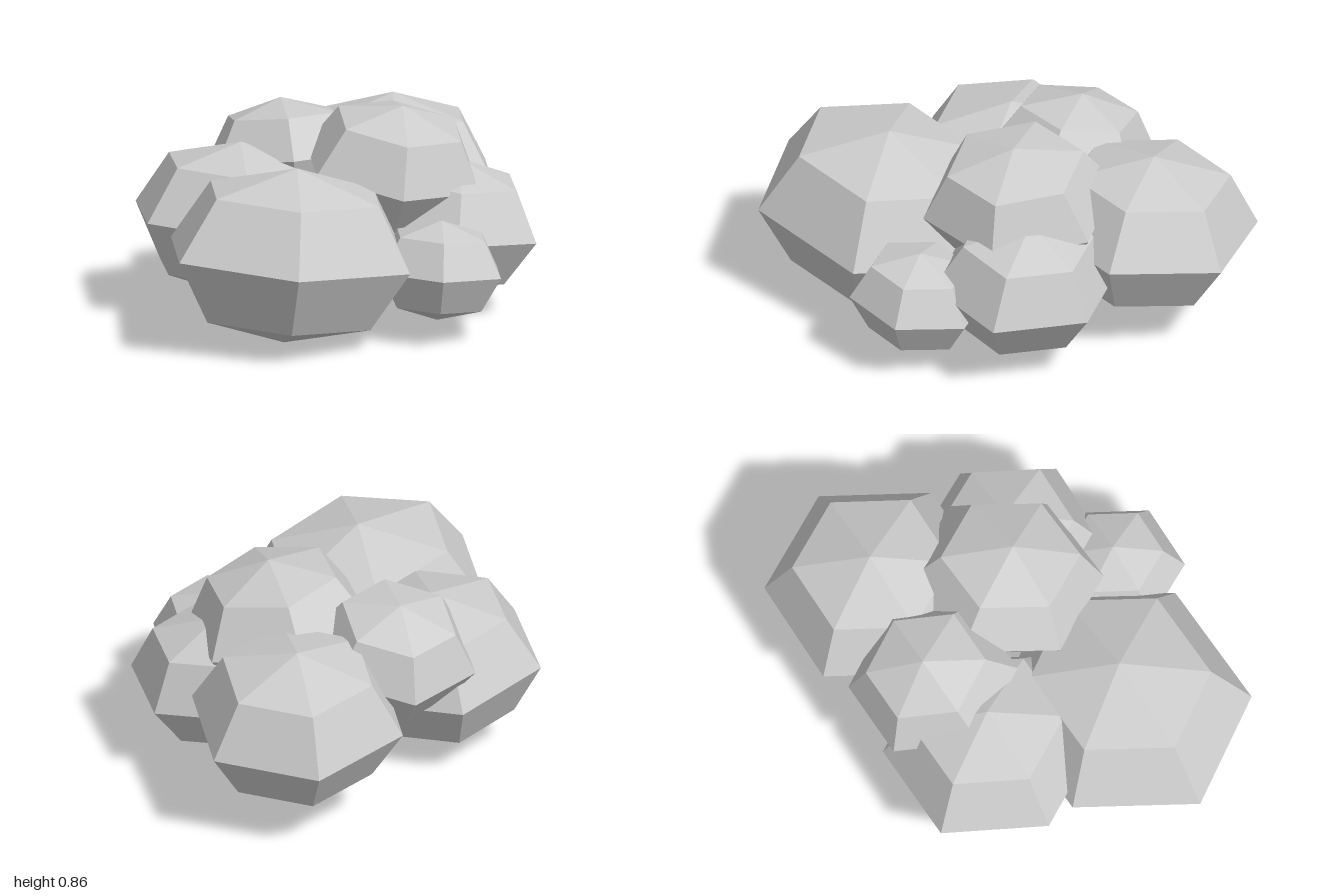
import * as THREE from 'three';

// Each puff is a low-poly sphere, squashed and tilted:
// c = centre, u / v / w = its half axes (sideways, up, forward)
const PUFFS = [
  { name: 'frontPuff', c: [0.04, 0.362, 0.5], u: [0.515, -0.03, -0.05], v: [0.015, 0.36, -0.03], w: [0, 0.05, 0.547] },
  { name: 'backPuff', c: [-0.04, 0.445, -0.6], u: [0.45, 0.01, 0], v: [-0.01, 0.315, -0.03], w: [0, 0.04, 0.462] },
  { name: 'topLeftPuff', c: [0.19, 0.59, -0.138], u: [0.385, -0.064, -0.014], v: [0.05, 0.27, 0.01], w: [0.025, 0, 0.4] },
  { name: 'topRightPuff', c: [-0.32, 0.572, -0.185], u: [0.34, 0.05, -0.007], v: [-0.034, 0.232, -0.03], w: [0.015, 0.045, 0.34] },
  { name: 'rightPuff', c: [-0.395, 0.378, 0.125], u: [0.44, -0.02, -0.015], v: [0.015, 0.313, -0.026], w: [0.017, 0.037, 0.436] },
  { name: 'leftPuff', c: [0.39, 0.358, -0.235], u: [0.4, -0.038, 0], v: [0.026, 0.273, -0.03], w: [0.01, 0.025, 0.381] },
  { name: 'smallLeftPuff', c: [0.55, 0.28, 0.17], u: [0.28, -0.003, 0.003], v: [0.006, 0.207, -0.01], w: [0, 0.03, 0.285] },
];

function makePuff({ name, c, u, v, w }, material) {
  const matrix = new THREE.Matrix4()
    .makeBasis(new THREE.Vector3(...u), new THREE.Vector3(...v), new THREE.Vector3(...w))
    .setPosition(...c);
  // six sides, four bands
  const geometry = new THREE.SphereGeometry(1, 6, 4).toNonIndexed().applyMatrix4(matrix);
  geometry.computeVertexNormals();
  const mesh = new THREE.Mesh(geometry, material);
  mesh.name = name;
  return mesh;
}

export function createModel() {
  const group = new THREE.Group();
  group.name = 'cloud';
  const material = new THREE.MeshStandardMaterial({ color: 0xcccccc, flatShading: true });
  for (const puff of PUFFS) group.add(makePuff(puff, material));
  return group;
}
